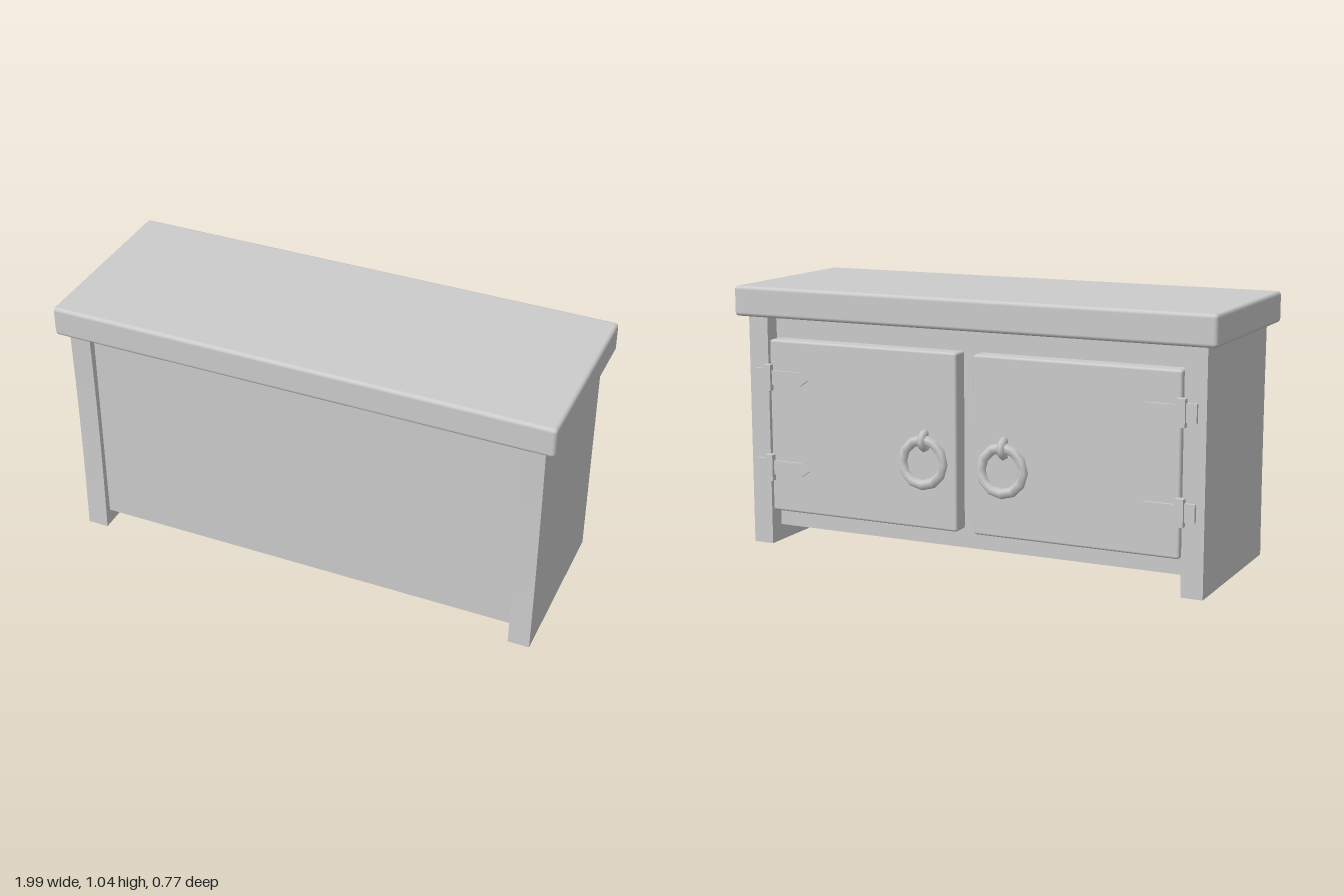
import * as THREE from 'three';
import { RoundedBoxGeometry } from 'three/addons/geometries/RoundedBoxGeometry.js';

export function createModel() {
  const model = new THREE.Group();
  model.name = 'cabinet';
  const grey = new THREE.MeshStandardMaterial({ color: 0xcccccc });
  grey.name = 'plain grey';

  const add = (name, geometry, parent = model) => {
    const mesh = new THREE.Mesh(geometry, grey);
    mesh.name = name;
    parent.add(mesh);
    return mesh;
  };
  // Box given by its limits, with an optional small edge radius
  const block = (name, x0, x1, y0, y1, z0, z1, parent = model, r = 0) => {
    const size = [x1 - x0, y1 - y0, z1 - z0];
    const geometry = r ? new RoundedBoxGeometry(...size, 2, r) : new THREE.BoxGeometry(...size);
    const mesh = add(name, geometry, parent);
    mesh.position.set((x0 + x1) / 2, (y0 + y1) / 2, (z0 + z1) / 2);
    return mesh;
  };

  // Thick top and recessed carcass
  block('top', -0.998, 0.995, 0.92, 1.04, -0.375, 0.385, model, 0.015);
  block('carcass', -0.88, 0.88, 0.065, 0.925, -0.27, 0.32);

  // Pointed hinge strap, running from the hinge towards the middle of the door
  const strapShape = new THREE.Shape([
    [0, -0.028], [0.14, -0.028], [0.18, 0], [0.14, 0.028], [0, 0.028],
  ].map(([x, y]) => new THREE.Vector2(x, y)));
  const strapGeometry = new THREE.ExtrudeGeometry(strapShape, { depth: 0.012, bevelEnabled: false });

  for (const s of [1, -1]) {
    const side = new THREE.Group();
    side.name = s > 0 ? 'leftHalf' : 'rightHalf';
    model.add(side);
    const span = (name, a, b, y0, y1, z0, z1, r) =>
      block(name, Math.min(s * a, s * b), Math.max(s * a, s * b), y0, y1, z0, z1, side, r);

    // Side panel, its front edge slightly hollowed
    const panel = new THREE.BoxGeometry(0.085, 0.93, 0.685, 1, 8, 1);
    const p = panel.attributes.position;
    for (let i = 0; i < p.count; i++) {
      const t = p.getY(i) / 0.465;
      if (p.getZ(i) > 0) p.setZ(i, p.getZ(i) - 0.007 * (1 - t * t));
    }
    panel.computeVertexNormals();
    add('sidePanel', panel, side).position.set(s * 0.91, 0.465, 0.0075);

    // Door
    span('door', 0.035, 0.86, 0.14, 0.83, -0.337, -0.26, 0.01);

    // Two hinges: knuckle, plate on the side panel, strap on the door
    for (const y of [0.317, 0.68]) {
      span('hingeKnuckle', 0.845, 0.88, y - 0.052, y + 0.052, -0.36, -0.325);
      span('hingePlate', 0.875, 0.92, y - 0.035, y + 0.035, -0.349, -0.33);
      const strap = add('hingeStrap', strapGeometry, side);
      strap.position.set(s * 0.86, y, s > 0 ? -0.336 : -0.348);
      strap.rotation.y = s > 0 ? Math.PI : 0;
    }

    // Pull ring hanging from a loop
    const ring = add('pullRing', new THREE.TorusGeometry(0.087, 0.02, 6, 12), side);
    ring.position.set(s * 0.167, 0.405, -0.362);
    ring.rotation.x = 0.06;
    const loop = add('ringLoop', new THREE.TorusGeometry(0.03, 0.016, 6, 10), side);
    loop.position.set(s * 0.167, 0.487, -0.342);
    loop.rotation.y = Math.PI / 2;
  }
  return model;
}
